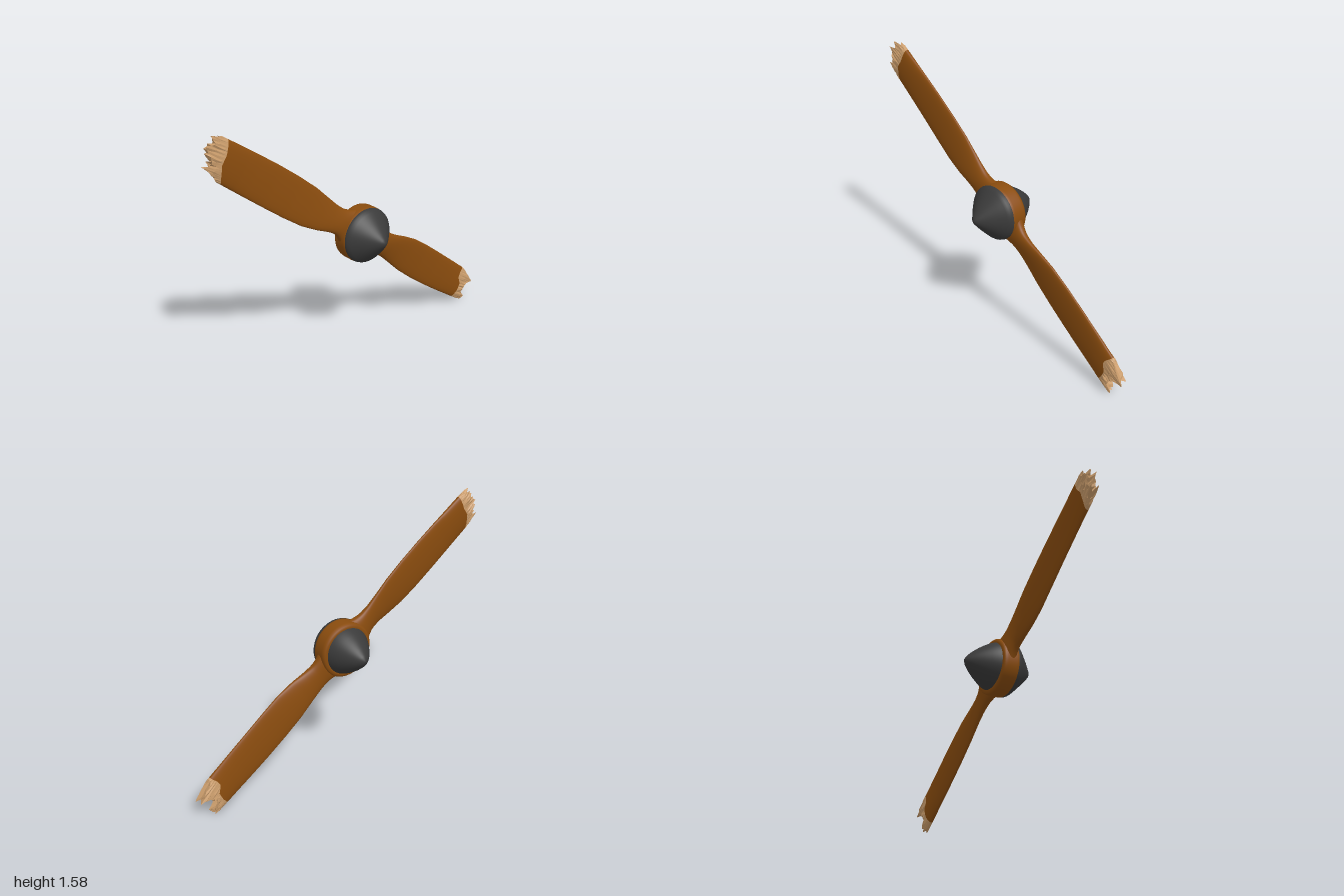
import * as THREE from 'three';

const material = (name, color) => {
  const m = new THREE.MeshStandardMaterial({ color });
  m.name = name;
  return m;
};

// linear lookup in rows of [key, ...values]
function lookup(rows, key) {
  let i = 0;
  while (i < rows.length - 2 && key > rows[i + 1][0]) i++;
  const a = rows[i], b = rows[i + 1];
  const t = THREE.MathUtils.clamp((key - a[0]) / (b[0] - a[0]), 0, 1);
  return a.slice(1).map((v, k) => v + (b[k + 1] - v) * t);
}

const hash = (n) => {
  const v = Math.sin(n * 127.1) * 43758.5453;
  return v - Math.floor(v);
};

// blade sections: distance, leading edge, trailing edge, half thickness, z centre, edge tilt
const SECTIONS = [
  [0.08, 0.135, -0.135, 0.044, 0.004, 0],
  [0.13, 0.102, -0.102, 0.043, 0.005, 0],
  [0.17, 0.083, -0.083, 0.04, 0.006, 0.003],
  [0.21, 0.075, -0.074, 0.035, 0.008, 0.008],
  [0.27, 0.082, -0.076, 0.029, 0.009, 0.012],
  [0.35, 0.1, -0.088, 0.024, 0.009, 0.013],
  [0.46, 0.116, -0.105, 0.021, 0.007, 0.011],
  [0.6, 0.118, -0.114, 0.019, 0.005, 0.008],
  [0.76, 0.114, -0.117, 0.019, 0.004, 0.006],
  [0.9, 0.109, -0.115, 0.021, 0.004, 0.005],
  [1.02, 0.104, -0.111, 0.025, 0.004, 0.004],
  [1.12, 0.1, -0.108, 0.031, 0.004, 0.003],
  [1.24, 0.096, -0.104, 0.027, 0.004, 0.002],
];
const SIDES = 64;

// point on the blade skin at distance u and ring step k
function skin(u, k, flat = 1) {
  const [top, bottom, half, zc, tilt] = lookup(SECTIONS, u);
  const a = (k / SIDES) * Math.PI * 2, s = Math.cos(a), h = Math.sin(a);
  const bulge = Math.sign(h) * Math.pow(Math.abs(h), 0.8);
  return [u, (top + bottom) / 2 + s * (top - bottom) / 2, zc + tilt * s + half * bulge * flat];
}

function loft(rings) {
  const index = [];
  for (let j = 0; j < rings.length - 1; j++) {
    for (let k = 0; k < SIDES; k++) {
      const a = j * SIDES + k, b = j * SIDES + (k + 1) % SIDES;
      index.push(a, b, a + SIDES, b, b + SIDES, a + SIDES);
    }
  }
  const g = new THREE.BufferGeometry();
  g.setAttribute('position', new THREE.Float32BufferAttribute(rings.flat(2), 3));
  g.setIndex(index);
  g.computeVertexNormals();
  return g;
}

const ring = (fn) => Array.from({ length: SIDES }, (_, k) => fn(k, Math.cos((k / SIDES) * Math.PI * 2)));

// paint edge and splintered outline across each blade, from trailing to leading edge
const BREAKS = [
  {
    paint: [[-1, 1.088], [-0.5, 1.09], [0, 1.078], [0.3, 1.037], [0.6, 1.033], [1, 1.044]],
    end: [[-1, 1.15], [-0.93, 1.185], [-0.6, 1.19], [-0.52, 1.14], [0, 1.135], [0.25, 1.15],
      [0.5, 1.203], [0.6, 1.165], [0.9, 1.08], [1, 1.06]],
  },
  {
    paint: [[-1, 1.125], [-0.3, 1.106], [0.2, 1.106], [0.7, 1.075], [1, 1.05]],
    end: [[-1, 1.16], [-0.75, 1.23], [-0.52, 1.186], [-0.2, 1.234], [0.05, 1.19], [0.3, 1.165],
      [0.55, 1.165], [0.7, 1.19], [0.78, 1.138], [1, 1.08]],
  },
];

function makeBlade({ paint, end }, seed, varnish, bareWood) {
  const blade = new THREE.Group();
  const edge = (s) => lookup(paint, s)[0];
  const tip = (k, s) => {
    const back = k > SIDES / 2 ? 0.035 * hash(k + seed) : 0;
    return Math.max(edge(s) + 0.01, lookup(end, s)[0] - back);
  };

  // varnished blade
  const rings = [];
  for (let u = 0.08; u < 1.0; u += 0.02) rings.push(ring((k) => skin(u, k)));
  rings.push(ring((k, s) => skin(edge(s), k)));
  const body = new THREE.Mesh(loft(rings), varnish);
  body.name = 'bladeBody';

  // broken end, closed by a recessed, ragged core
  const bare = [0, 0.5, 1].map((t) => ring((k, s) => {
    const rough = 1 + (t ? 0.35 * (hash(k * 3 + t + seed) - 0.5) : 0);
    return skin(THREE.MathUtils.lerp(edge(s), tip(k, s), t), k, rough);
  }));
  bare.push(ring((k, s) => {
    const m = Math.min(k, SIDES - k);
    const depth = 0.015 + 0.035 * hash(m * 5 + seed);
    return skin(Math.max(edge(s), lookup(end, s)[0] - depth), m, 0.2 * (hash(m + seed) - 0.5));
  }));
  const shards = loft(bare).toNonIndexed();
  shards.computeVertexNormals();
  const broken = new THREE.Mesh(shards, bareWood);
  broken.name = 'splinteredTip';
  blade.add(body, broken);
  return blade;
}

// turned part about the z axis, from [radius, z] pairs running back to front
function turned(name, profile, mat) {
  const g = new THREE.LatheGeometry(profile.map(([r, z]) => new THREE.Vector2(r, z)), 64);
  const mesh = new THREE.Mesh(g.rotateX(Math.PI / 2), mat);
  mesh.name = name;
  return mesh;
}

export function createModel() {
  const varnish = material('varnished wood', 0x8a4c0e);
  const bareWood = material('bare wood', 0xcb9d6c);
  const darkMetal = material('dark metal', 0x3a3a3a);

  const model = new THREE.Group();
  model.name = 'propeller';
  const rotor = new THREE.Group();
  rotor.name = 'rotor';
  rotor.position.y = 0.795;
  model.add(rotor);

  // hub and nose cones
  rotor.add(
    turned('hub', [[0, -0.046], [0.145, -0.046], [0.158, -0.043], [0.165, -0.034], [0.167, -0.02],
      [0.167, 0.035], [0.165, 0.05], [0.16, 0.056], [0, 0.056]], varnish),
    turned('frontCone', [[0.164, 0.048], [0.165, 0.056], [0.16, 0.07], [0.148, 0.085], [0.12, 0.113],
      [0.085, 0.147], [0.05, 0.178], [0.025, 0.2], [0.01, 0.209], [0, 0.21]], darkMetal),
    turned('rearCone', [[0, -0.215], [0.012, -0.212], [0.03, -0.2], [0.06, -0.17], [0.09, -0.133],
      [0.115, -0.096], [0.133, -0.065], [0.142, -0.042]], darkMetal),
  );

  // two opposite blades
  BREAKS.forEach((shape, i) => {
    const blade = makeBlade(shape, i * 17 + 3, varnish, bareWood);
    blade.name = i ? 'rightBlade' : 'leftBlade';
    blade.rotation.z = -0.637 + i * Math.PI;
    rotor.add(blade);
  });
  return model;
}
